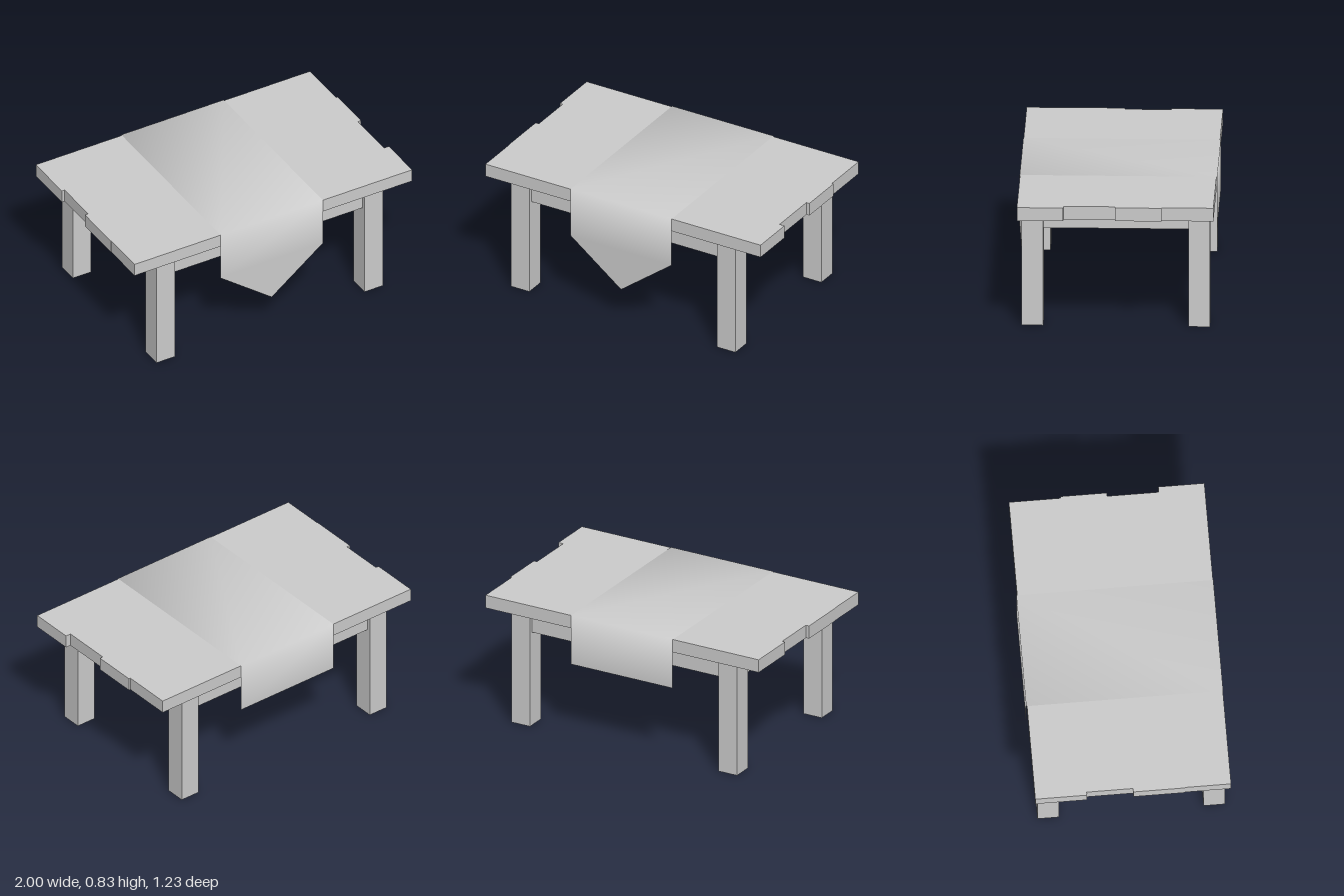
import * as THREE from 'three';

const grey = new THREE.MeshStandardMaterial({ color: 0xcccccc });
const cloth = new THREE.MeshStandardMaterial({ color: 0xcccccc, side: THREE.DoubleSide });

// Box given by its extents along each axis
function box(name, [x0, x1], [y0, y1], [z0, z1]) {
  const mesh = new THREE.Mesh(new THREE.BoxGeometry(x1 - x0, y1 - y0, z1 - z0), grey);
  mesh.position.set((x0 + x1) / 2, (y0 + y1) / 2, (z0 + z1) / 2);
  mesh.name = name;
  return mesh;
}

// Thin cloth folded over the top, with a pointed front end
function runner() {
  const left = -0.38, right = 0.355, top = 0.835, hem = 0.505, z = 0.614;
  const rows = [[hem, -z], [top, -z], [top, z], [hem, z]];
  const points = rows.flatMap(([y, d]) => [left, y, d, right, y, d]);
  points.push((left + right) / 2, 0.225, z);
  const index = [];
  for (let i = 0; i < 6; i += 2) index.push(i, i + 2, i + 1, i + 1, i + 2, i + 3);
  index.push(6, 8, 7);
  const geometry = new THREE.BufferGeometry();
  geometry.setAttribute('position', new THREE.Float32BufferAttribute(points, 3));
  geometry.setIndex(index);
  geometry.computeVertexNormals();
  const mesh = new THREE.Mesh(geometry, cloth);
  mesh.name = 'tableRunner';
  return mesh;
}

export function createModel() {
  const table = new THREE.Group();
  table.name = 'table';
  const under = 0.747, top = 0.833;

  // Planks of uneven length, back to front
  const planks = [
    [-0.997, 0.974, -0.609, -0.287],
    [-0.977, 0.985, -0.287, 0.002],
    [-1, 0.963, 0.002, 0.324],
    [-0.997, 0.998, 0.324, 0.612],
  ];
  for (const [x0, x1, z0, z1] of planks) table.add(box('plank', [x0, x1], [under, top], [z0, z1]));

  // Legs
  const legX = [[-0.825, -0.693], [0.669, 0.801]];
  const legZ = [[-0.582, -0.448], [0.454, 0.588]];
  for (const x of legX) for (const z of legZ) table.add(box('leg', x, [0, under], z));

  // Aprons, set back a little from the outer leg faces
  const strip = ([a, b], far) => (far ? [a + 0.044, b - 0.025] : [a + 0.025, b - 0.044]);
  const height = [0.63, under];
  for (const i of [0, 1]) {
    table.add(box(i ? 'frontApron' : 'backApron', [legX[0][1], legX[1][0]], height, strip(legZ[i], i)));
    table.add(box('sideApron', strip(legX[i], i), height, [legZ[0][1], legZ[1][0]]));
  }

  table.add(runner());
  return table;
}
